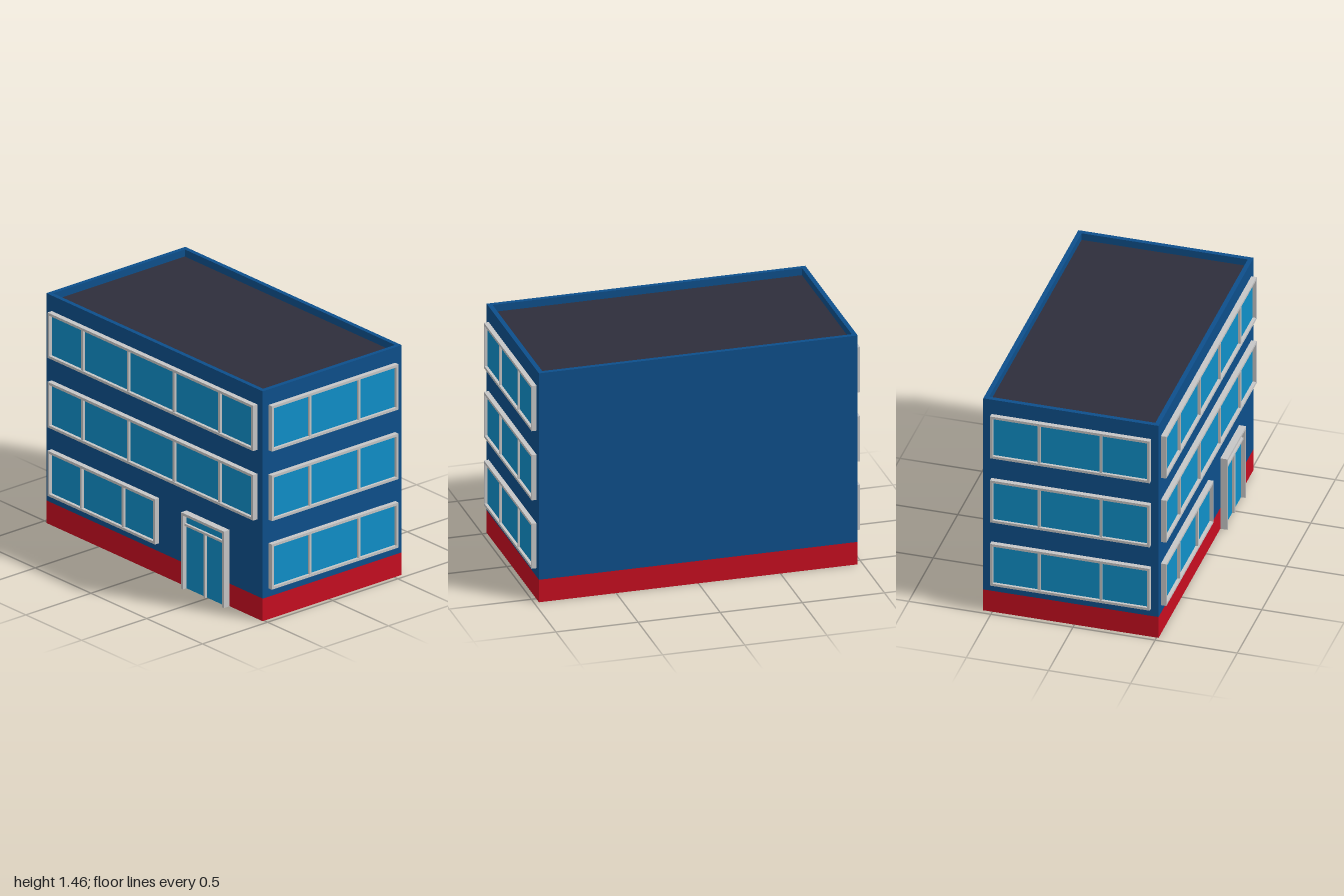
import * as THREE from 'three';

const mat = (name, color, side = THREE.FrontSide) => {
  const m = new THREE.MeshStandardMaterial({ color, side });
  m.name = name;
  return m;
};

const W = 0.97, FRONT = 0.512, BACK = -0.555; // wall planes
const PLINTH = 0.143, ROOF = 1.41, TOP = 1.455, RIM = 0.028;
const DEPTH = FRONT - BACK, MID = (FRONT + BACK) / 2;

export function createModel() {
  const blue = mat('wallBlue', 0x0d4f8b, THREE.DoubleSide);
  const red = mat('plinthRed', 0xc60d20, THREE.DoubleSide);
  const roofGrey = mat('roofDark', 0x2e2d3b, THREE.DoubleSide);
  const glass = mat('glassBlue', 0x0f8fc8, THREE.DoubleSide);
  const grey = mat('frameGrey', 0xc6c6c6);

  const model = new THREE.Group();
  model.name = 'building';

  const add = (parent, name, geometry, material, x = 0, y = 0, z = 0) => {
    const mesh = new THREE.Mesh(geometry, material);
    mesh.name = name;
    mesh.position.set(x, y, z);
    parent.add(mesh);
    return mesh;
  };

  // Four thin walls without top or bottom
  const wallBand = (name, y0, y1, material) => {
    const g = new THREE.BoxGeometry(2 * W, y1 - y0, DEPTH);
    const idx = Array.from(g.index.array);
    g.setIndex([...idx.slice(0, 12), ...idx.slice(24)]);
    g.clearGroups();
    add(model, name, g, material, 0, (y0 + y1) / 2, MID);
  };
  wallBand('plinth', 0, PLINTH, red);
  wallBand('walls', PLINTH, ROOF, blue);

  // Rectangular ring in the xy plane, extruded along +z
  const ring = (x0, y0, x1, y1, t, depth, bottom = t) => {
    const rect = (C, a, b, c, d) => {
      const s = new C();
      s.moveTo(a, b).lineTo(c, b).lineTo(c, d).lineTo(a, d).closePath();
      return s;
    };
    const shape = rect(THREE.Shape, x0, y0, x1, y1);
    shape.holes.push(rect(THREE.Path, x0 + t, y0 + bottom, x1 - t, y1 - t));
    return new THREE.ExtrudeGeometry(shape, { depth, bevelEnabled: false });
  };

  // Parapet and sunken flat roof
  const parapet = ring(-W, -DEPTH / 2, W, DEPTH / 2, RIM, TOP - ROOF);
  parapet.rotateX(-Math.PI / 2);
  add(model, 'parapet', parapet, blue, 0, ROOF, MID);
  const roof = new THREE.PlaneGeometry(2 * (W - RIM), DEPTH - 2 * RIM);
  roof.rotateX(-Math.PI / 2);
  add(model, 'roof', roof, roofGrey, 0, ROOF, MID);

  // Band of panes in a raised frame; the wall is local z = 0
  const T = 0.016;
  const windowBand = (parent, name, x0, x1, y0, y1, posts, depth) => {
    const g = new THREE.Group();
    g.name = name;
    parent.add(g);
    add(g, 'frame', ring(x0, y0, x1, y1, T, depth), grey);
    add(g, 'glass', new THREE.PlaneGeometry(x1 - x0 - T, y1 - y0 - T), glass,
      (x0 + x1) / 2, (y0 + y1) / 2, 0.013);
    for (const x of posts) {
      add(g, 'mullion', new THREE.BoxGeometry(T, y1 - y0 - 2 * T, depth - 0.004), grey,
        x, (y0 + y1) / 2, (depth - 0.004) / 2);
    }
  };

  const facade = (name, x, z, turn) => {
    const g = new THREE.Group();
    g.name = name;
    g.position.set(x, 0, z);
    g.rotation.y = turn;
    model.add(g);
    return g;
  };

  const floors = [[0.196, 0.482], [0.63, 0.918], [1.07, 1.357]];
  const front = facade('frontFacade', 0, FRONT, 0);
  const left = facade('leftFacade', W, 0, Math.PI / 2);
  const right = facade('rightFacade', -W, 0, -Math.PI / 2);

  floors.forEach(([y0, y1], i) => {
    if (i === 0) windowBand(front, 'frontWindow', -0.922, 0.042, y0, y1, [-0.627, -0.253], 0.033);
    else windowBand(front, 'frontWindow', -0.922, 0.922, y0, y1, [-0.616, -0.207, 0.203, 0.613], 0.033);
    windowBand(left, 'leftWindow', -0.467, 0.505, y0, y1, [-0.167, 0.208], 0.03);
    windowBand(right, 'rightWindow', -0.505, 0.467, y0, y1, [-0.208, 0.167], 0.03);
  });

  // Double entrance door with a transom light
  const door = new THREE.Group();
  door.name = 'entranceDoor';
  front.add(door);
  const X0 = 0.289, X1 = 0.673, H = 0.483, D = 0.043, CX = (X0 + X1) / 2;
  for (const x of [X0 + T / 2, X1 - T / 2]) {
    add(door, 'doorJamb', new THREE.BoxGeometry(T, H, D), grey, x, H / 2, D / 2);
  }
  const inner = X1 - X0 - 2 * T;
  add(door, 'doorHead', new THREE.BoxGeometry(inner, T, D), grey, CX, H - T / 2, D / 2);
  add(door, 'transomBar', new THREE.BoxGeometry(inner, 0.014, D - 0.012), grey, CX, 0.406, (D - 0.012) / 2);
  add(door, 'centrePost', new THREE.BoxGeometry(0.013, 0.4, D - 0.012), grey, CX + 0.003, 0.2, (D - 0.012) / 2);
  add(door, 'doorGlass', new THREE.PlaneGeometry(inner, H - T), glass, CX, (H - T) / 2, 0.016);

  return model;
}
